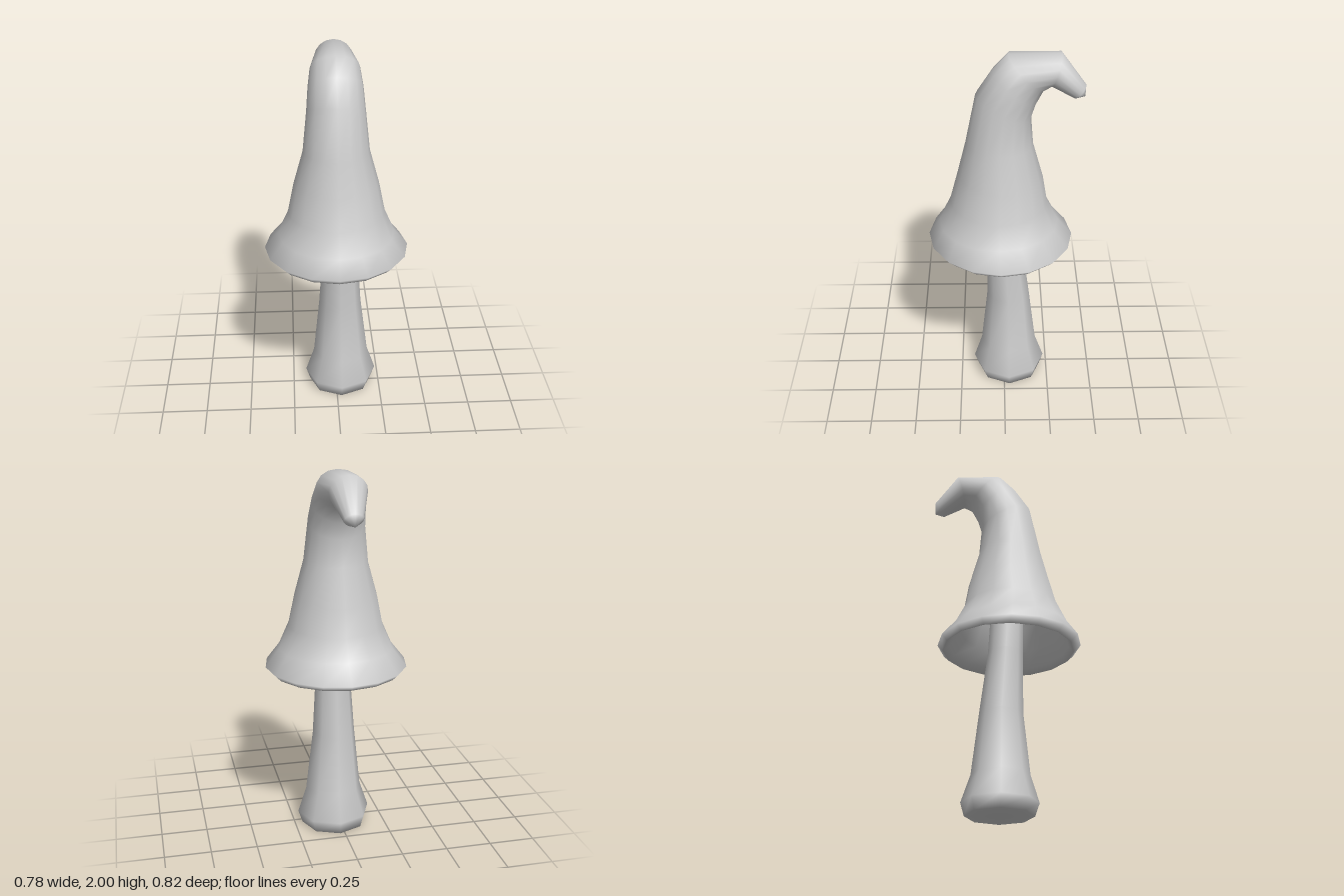
import * as THREE from 'three';

// Smooth skin over rings [frontZ, frontY, backZ, backY, halfWidth, centreX].
// Each ring is an ellipse that may tilt in z-y; poles [z, y, x] close the ends.
function loft(name, rings, sides, startPole, endPole) {
  const pos = [], index = [];
  for (const [fz, fy, bz, by, hw, cx = 0] of rings) {
    for (let k = 0; k < sides; k++) {
      const a = (k / sides) * Math.PI * 2, c = Math.cos(a);
      pos.push(
        cx + hw * Math.sin(a),
        (fy + by) / 2 + (c * (fy - by)) / 2,
        (fz + bz) / 2 + (c * (fz - bz)) / 2
      );
    }
  }
  for (let i = 0; i < rings.length - 1; i++) {
    for (let k = 0; k < sides; k++) {
      const n = (k + 1) % sides;
      const a = i * sides + k, b = i * sides + n;
      index.push(a, b, b + sides, a, b + sides, a + sides);
    }
  }
  const first = rings.length * sides, last = (rings.length - 1) * sides;
  for (const [z, y, x = 0] of [startPole, endPole]) pos.push(x, y, z);
  for (let k = 0; k < sides; k++) {
    const n = (k + 1) % sides;
    index.push(first, n, k, first + 1, last + k, last + n);
  }
  const geo = new THREE.BufferGeometry();
  geo.setAttribute('position', new THREE.Float32BufferAttribute(pos, 3));
  geo.setIndex(index);
  geo.computeVertexNormals();
  const mesh = new THREE.Mesh(geo, new THREE.MeshStandardMaterial({ color: 0xcccccc }));
  mesh.name = name;
  return mesh;
}

export function createModel() {
  const group = new THREE.Group();
  group.name = 'mushroom';

  // Hollow cap: inner lining, rolled rim, then the outside up to the drooping tip
  group.add(loft('cap', [
    [0.16, 1.32, -0.12, 1.32, 0.14],
    [0.24, 1.13, -0.19, 1.13, 0.21],
    [0.29, 1.01, -0.24, 1.01, 0.265],
    [0.345, 0.93, -0.305, 0.93, 0.325],
    [0.37, 0.9, -0.34, 0.9, 0.357],
    [0.41, 0.94, -0.37, 0.93, 0.39],
    [0.35, 1.03, -0.29, 1.03, 0.315],
    [0.29, 1.16, -0.23, 1.15, 0.26],
    [0.245, 1.33, -0.205, 1.3, 0.227],
    [0.2, 1.51, -0.15, 1.5, 0.175],
    [0.145, 1.78, -0.138, 1.65, 0.153],
    [0.06, 1.91, -0.165, 1.74, 0.143],
    [-0.02, 1.995, -0.2, 1.81, 0.13],
    [-0.285, 2.0, -0.235, 1.83, 0.1],
    [-0.41, 1.83, -0.35, 1.76, 0.05],
  ], 16, [0.02, 1.36], [-0.408, 1.765]));

  // Stem with a bulbous foot, running up inside the cap
  group.add(loft('stem', [
    [0.15, 0, -0.21, 0, 0.18, 0.026],
    [0.175, 0.07, -0.23, 0.07, 0.203, 0.027],
    [0.13, 0.215, -0.18, 0.215, 0.155, 0.027],
    [0.095, 0.55, -0.14, 0.55, 0.118, 0.023],
    [0.095, 0.9, -0.095, 0.9, 0.095, 0.022],
    [0.1, 1.34, -0.07, 1.34, 0.085, 0.01],
  ], 8, [-0.03, 0, 0.026], [0.015, 1.35, 0.01]));

  return group;
}
